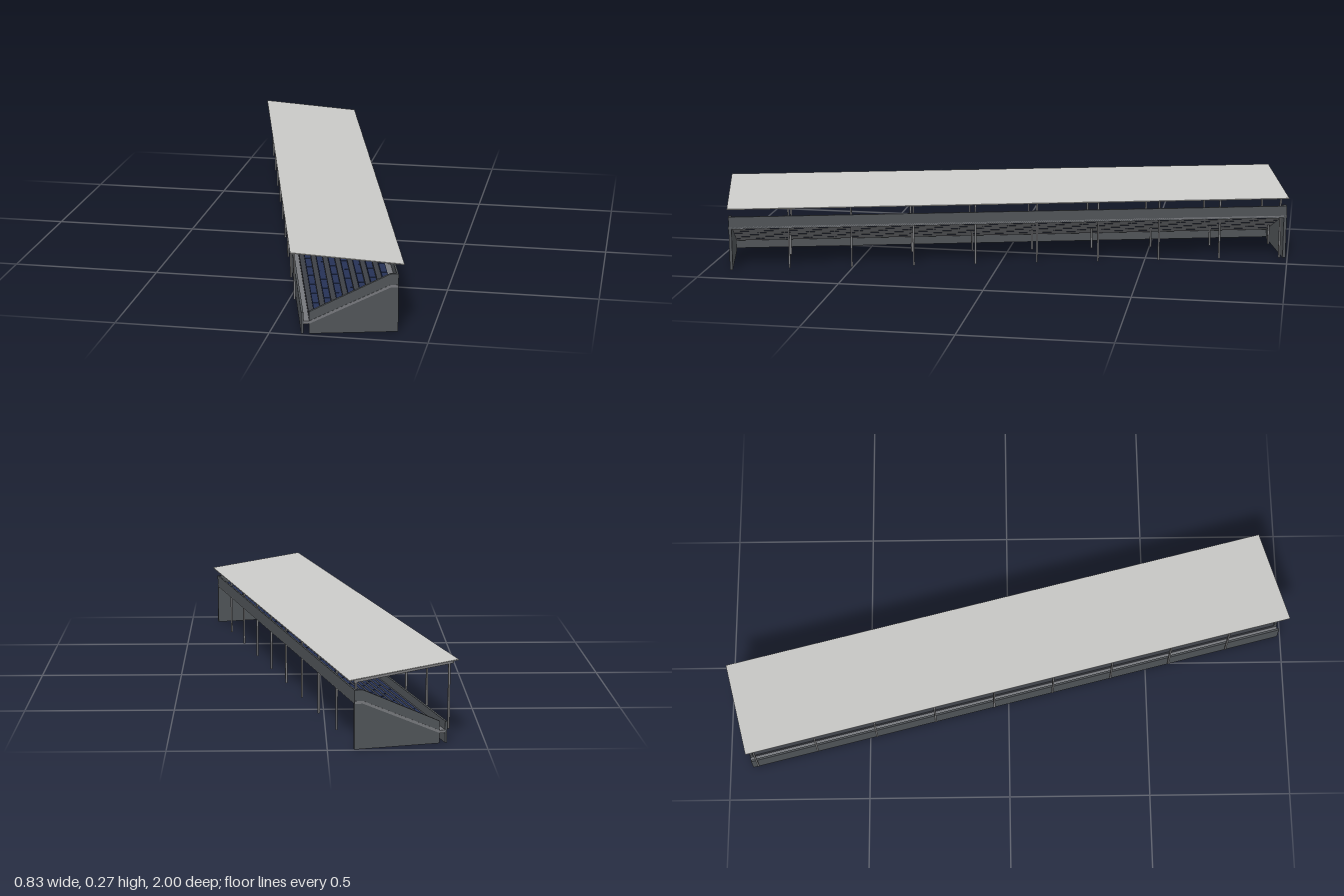
import * as THREE from 'three';
import { mergeGeometries } from 'three/addons/utils/BufferGeometryUtils.js';

const mat = (name, color) => {
  const m = new THREE.MeshStandardMaterial({ color });
  m.name = name;
  return m;
};

export function createModel() {
  const roofGrey = mat('pale roof', 0xcacac8);
  const steelGrey = mat('steel', 0x78797b);
  const wallGrey = mat('dark wall', 0x505458);
  const slabGrey = mat('concrete slab', 0x76787c);
  const stepGrey = mat('dark steps', 0x3c3f46);
  const seatNavy = mat('navy seats', 0x263256);

  const stand = new THREE.Group();
  stand.name = 'grandstand';
  const HALF = 0.984;               // half length of the walls
  const BACK = 0.16, FRONT = -0.119; // ends of the rake, stand opens towards -x

  const add = (name, geometry, material) => {
    const mesh = new THREE.Mesh(geometry, material);
    mesh.name = name;
    stand.add(mesh);
    return mesh;
  };
  // box given by its limits
  const box = (x0, x1, y0, y1, z0, z1) =>
    new THREE.BoxGeometry(x1 - x0, y1 - y0, z1 - z0)
      .translate((x0 + x1) / 2, (y0 + y1) / 2, (z0 + z1) / 2);
  // cross-section in x, y extruded from z0 to z1
  const prism = (points, z0, z1) =>
    new THREE.ExtrudeGeometry(
      new THREE.Shape(points.map(p => new THREE.Vector2(p[0], p[1]))),
      { depth: z1 - z0, bevelEnabled: false }
    ).translate(0, 0, z0);

  // Low front wall, separated from the end walls by a passage
  add('frontWall', box(-0.144, -0.137, 0, 0.07, -HALF, HALF), wallGrey);

  // Sloping end walls
  const side = [[FRONT, 0], [BACK, 0], [BACK, 0.19], [0.134, 0.19], [FRONT, 0.072]];
  add('leftEndWall', prism(side, HALF - 0.01, HALF), wallGrey);
  add('rightEndWall', prism(side, -HALF, -HALF + 0.01), wallGrey);

  // Upper back wall, open below
  add('backWall', box(BACK - 0.006, BACK, 0.148, 0.19, -HALF, HALF), wallGrey);

  // Raking slab with front walkway, its ends showing on the end walls
  add('rakingSlab', prism([
    [-0.137, 0.033], [FRONT, 0.033], [0.134, 0.146], [BACK, 0.146],
    [BACK, 0.155], [0.134, 0.155], [FRONT, 0.042], [-0.137, 0.042],
  ], -HALF - 0.0012, HALF + 0.0012), slabGrey);

  // Terraced steps
  const ROWS = 7, tread = (0.134 - FRONT) / ROWS, rise = 0.113 / ROWS;
  const inner = HALF - 0.01;
  const profile = [[0.134, 0.15], [FRONT, 0.037]];
  for (let i = 0; i < ROWS; i++) {
    const y = 0.042 + rise * (i + 1);
    profile.push([FRONT + tread * i, y], [FRONT + tread * (i + 1), y]);
  }
  add('terraceSteps', prism(profile, -inner, inner), stepGrey);

  // Bench seats on the rear half of every step
  const seats = [], PER_ROW = 22, pitch = 2 * inner / PER_ROW;
  for (let i = 0; i < ROWS; i++) {
    const x = FRONT + tread * (i + 0.45), y = 0.042 + rise * (i + 1);
    for (let j = 0; j < PER_ROW; j++) {
      const z = -inner + pitch * j;
      seats.push(box(x, x + tread * 0.55, y - rise * 0.6, y + rise * 0.5, z + 0.002, z + pitch - 0.002));
    }
  }
  add('seatRows', mergeGeometries(seats), seatNavy);

  // Sloping roof sheet
  const roofY = x => 0.2425 - 0.127 * x;  // underside height
  const E = 0.1775;
  add('roof', prism([
    [-E, roofY(-E)], [E, roofY(E)], [E, roofY(E) + 0.003], [-E, roofY(-E) + 0.003],
  ], -0.987, 0.987), roofGrey);

  // Nine frames: front column, back column, rafter and short post under the rake
  const w = 0.003;
  for (let i = 0; i < 9; i++) {
    const z = -0.963 + 0.2175 * i;
    add('frontColumn', box(-0.155 - w, -0.155 + w, 0.04, 0.256, z - w, z + w), steelGrey);
    add('backColumn', box(0.15 - w, 0.15 + w, 0, 0.216, z - w, z + w), steelGrey);
    add('rafter', prism([
      [-0.17, roofY(-0.17) - 0.012], [0.157, roofY(0.157) - 0.014],
      [0.157, roofY(0.157)], [-0.17, roofY(-0.17)],
    ], z - w, z + w), steelGrey);
    add('underPost', box(-0.032 - w, -0.032 + w, 0, 0.075, z - w, z + w), steelGrey);
  }

  // The whole stand is turned about the vertical
  stand.rotation.y = 0.246;
  const model = new THREE.Group();
  model.name = 'coveredGrandstand';
  model.add(stand);
  return model;
}
